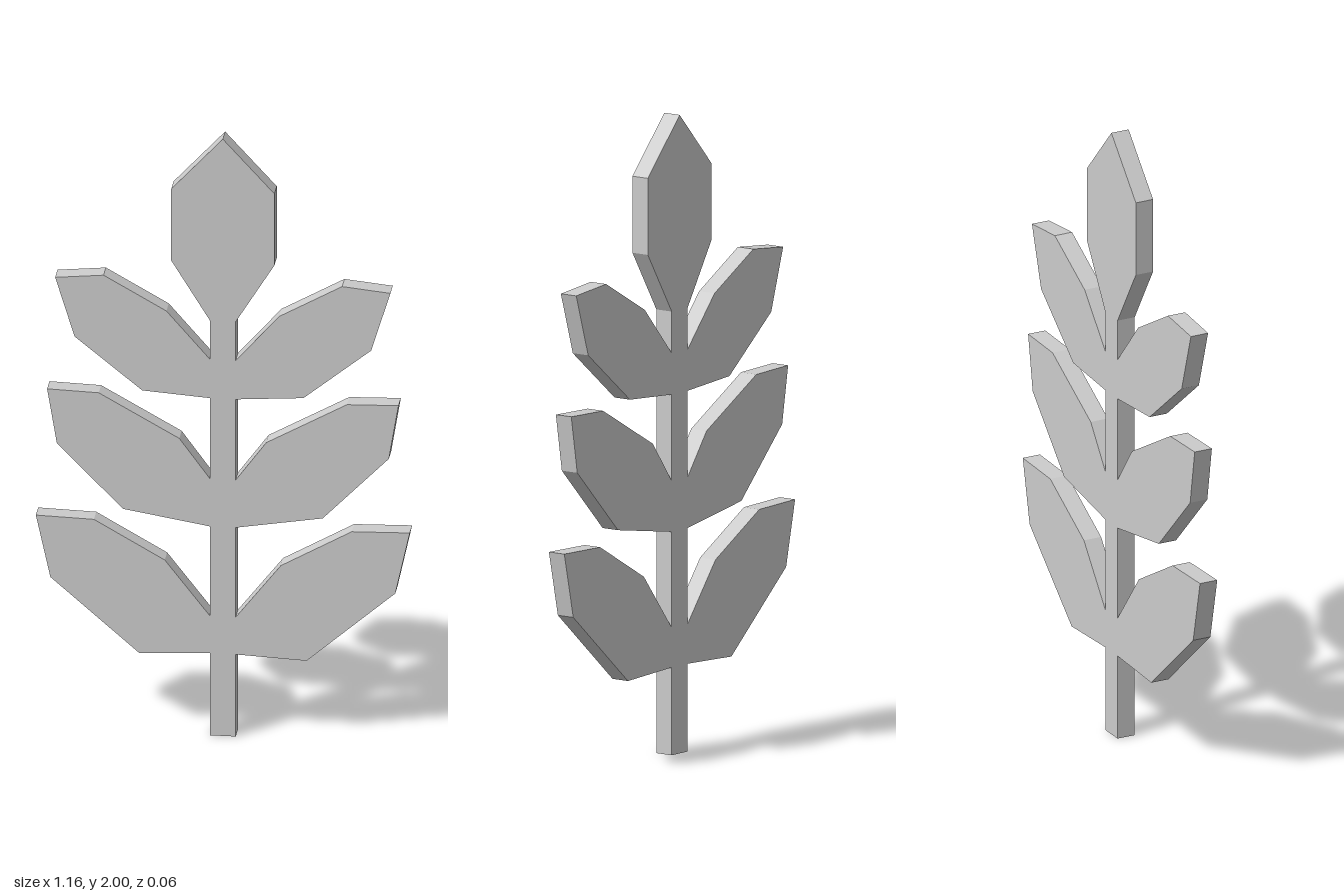
import * as THREE from 'three';

const DEPTH = 0.06;
const STEM = 0.04; // half width of the stem

// Leaf outlines on the +x side, each starting and ending on the stem edge
const sideLeaves = [
  [[STEM, 0.275], [0.26, 0.265], [0.535, 0.505], [0.58, 0.71], [0.4, 0.705], [0.18, 0.58], [STEM, 0.4]],
  [[STEM, 0.7], [0.31, 0.745], [0.515, 0.955], [0.545, 1.135], [0.385, 1.13], [0.135, 0.99], [STEM, 0.86]],
  [[STEM, 1.13], [0.25, 1.145], [0.46, 1.315], [0.52, 1.51], [0.37, 1.525], [0.175, 1.415], [STEM, 1.26]],
];
const topLeaf = [[STEM, 1.39], [0.16, 1.585], [0.16, 1.825]];

export function createModel() {
  const group = new THREE.Group();
  group.name = 'leafSprig';

  // Right half from the foot of the stem up, then its mirror image back down
  const half = [[STEM, 0], ...sideLeaves.flat(), ...topLeaf];
  const mirrored = half.map(([x, y]) => [-x, y]).reverse();
  const outline = [...half, [0, 2], ...mirrored].map(([x, y]) => new THREE.Vector2(x, y));

  // Stem and leaves cut as one flat plate
  const geometry = new THREE.ExtrudeGeometry(new THREE.Shape(outline), { depth: DEPTH, bevelEnabled: false });
  geometry.translate(0, 0, -DEPTH / 2);

  const material = new THREE.MeshStandardMaterial({ color: 0xcccccc, flatShading: true });
  const sprig = new THREE.Mesh(geometry, material);
  sprig.name = 'stemAndLeaves';
  group.add(sprig);
  return group;
}
